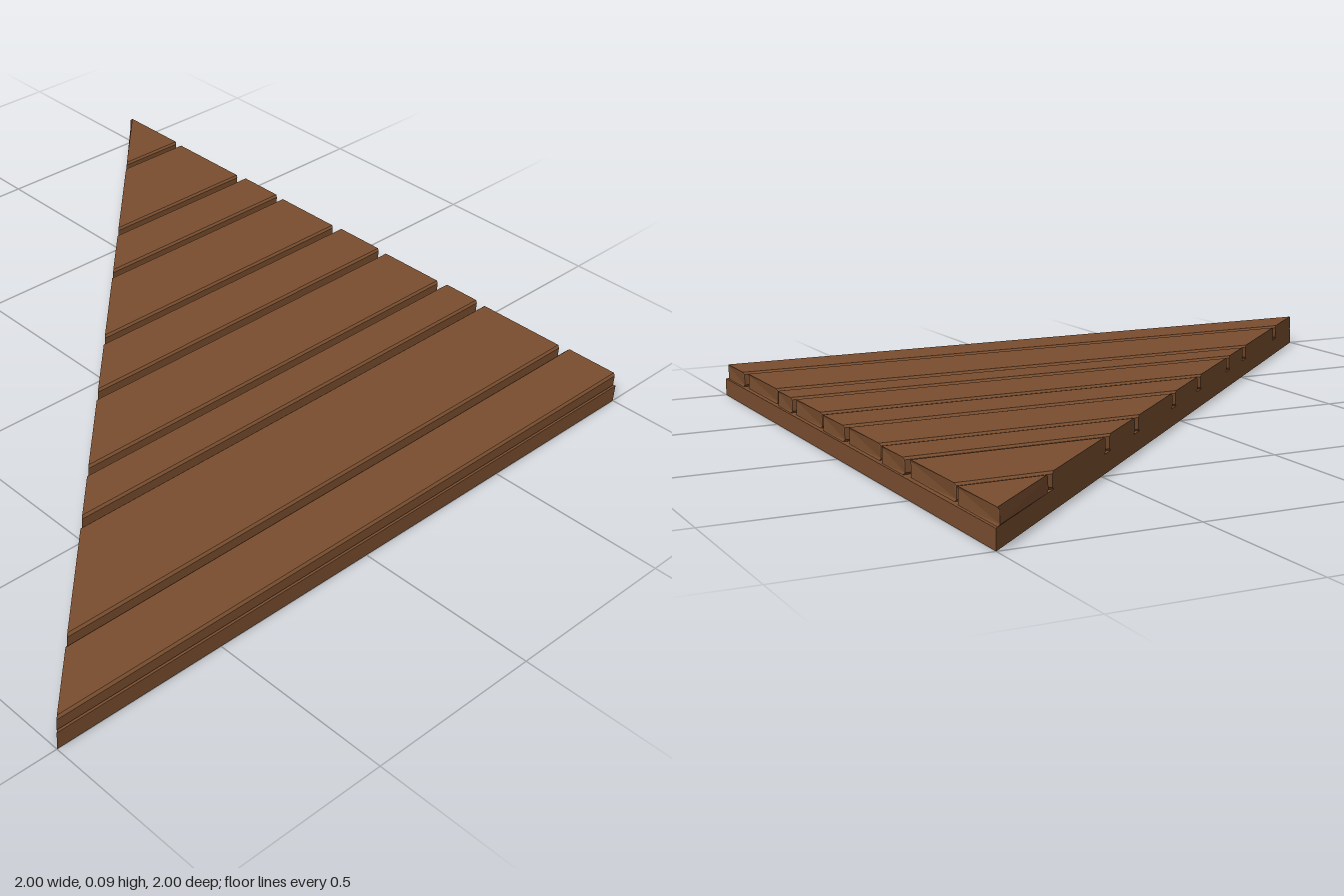
import * as THREE from 'three';

const BASE_TOP = 0.05, TOP = 0.093, CHAMFER = 0.006;

// Back and front edge (z) of each plank, and where its right end stops (x)
const PLANKS = [
  [0.835, 0.998, 0.993], [0.537, 0.813, 0.987], [0.39, 0.512, 0.993],
  [0.155, 0.368, 0.988], [-0.033, 0.13, 0.993], [-0.28, -0.055, 0.988],
  [-0.452, -0.302, 0.993], [-0.75, -0.475, 0.987], [-0.998, -0.77, 0.992],
];

// Chamfered board running along x, its left end cut on the diagonal x = -z
function plankGeometry(back, front, right) {
  const c = CHAMFER;
  const section = new THREE.Shape([
    [-front + c, BASE_TOP], [-back - c, BASE_TOP], [-back, BASE_TOP + c], [-back, TOP - c],
    [-back - c, TOP], [-front + c, TOP], [-front, TOP - c], [-front, BASE_TOP + c],
  ].map(([x, y]) => new THREE.Vector2(x, y)));
  const geometry = new THREE.ExtrudeGeometry(section, { depth: 1, bevelEnabled: false });
  geometry.rotateY(Math.PI / 2);
  const p = geometry.attributes.position;
  for (let i = 0; i < p.count; i++) {
    const z = p.getZ(i);
    // Right end is slightly worn at the plank's edges
    const edge = Math.min(z - back, front - z) < c * 0.5 ? 0.003 : 0;
    const end = right - edge;
    p.setX(i, p.getX(i) > 0.5 ? end : Math.min(-z, end));
  }
  geometry.computeVertexNormals();
  return geometry;
}

export function createModel() {
  const group = new THREE.Group();
  group.name = 'triangularPlankFloor';
  const wood = new THREE.MeshStandardMaterial({ color: 0x7a4e2f });

  // Solid triangular base
  const triangle = new THREE.Shape([
    new THREE.Vector2(-1, -1), new THREE.Vector2(1, -1), new THREE.Vector2(1, 1),
  ]);
  const baseGeometry = new THREE.ExtrudeGeometry(triangle, { depth: BASE_TOP, bevelEnabled: false });
  baseGeometry.rotateX(-Math.PI / 2);
  const base = new THREE.Mesh(baseGeometry, wood);
  base.name = 'base';
  group.add(base);

  // Planks laid across it with narrow gaps
  PLANKS.forEach(([back, front, right], i) => {
    const plank = new THREE.Mesh(plankGeometry(back, front, right), wood);
    plank.name = `plank${i + 1}`;
    group.add(plank);
  });
  return group;
}
